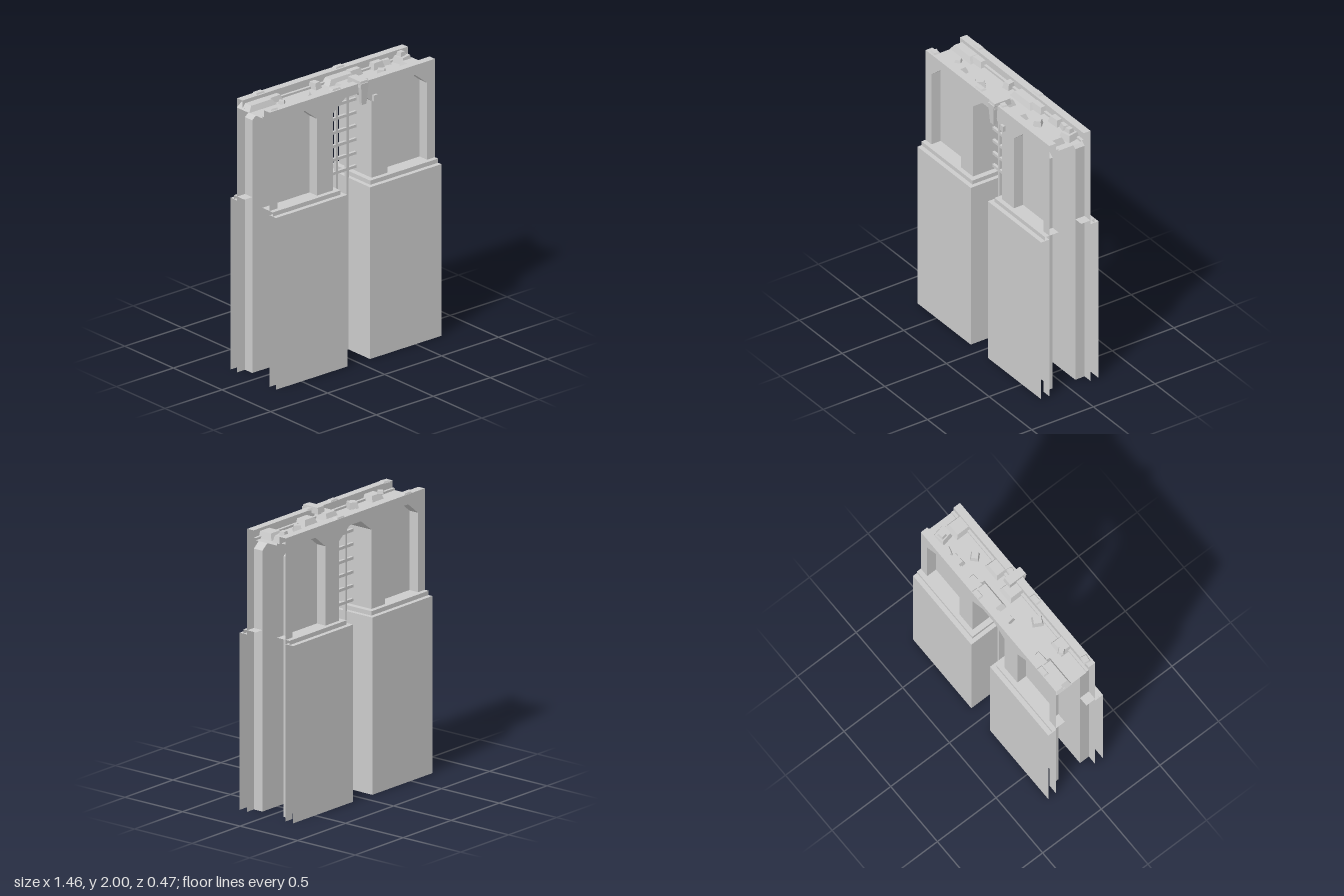
import * as THREE from 'three';

const W = 0.725, WALL = 0.167, NICHE = 0.092, PIER = 0.233;
const mat = new THREE.MeshStandardMaterial({ color: 0xcccccc, flatShading: true, side: THREE.DoubleSide });

function add(parent, name, geometry) {
  const m = new THREE.Mesh(geometry, mat);
  m.name = name;
  parent.add(m);
  return m;
}

// Ruled sheet between two matching rows of points
function sheet(a, b) {
  const pos = [], idx = [];
  a.forEach((p, i) => {
    pos.push(...p, ...b[i]);
    if (i) idx.push(2 * i - 2, 2 * i, 2 * i - 1, 2 * i - 1, 2 * i, 2 * i + 1);
  });
  const g = new THREE.BufferGeometry();
  g.setAttribute('position', new THREE.Float32BufferAttribute(pos, 3));
  g.setIndex(idx);
  const flat = g.toNonIndexed();
  flat.computeVertexNormals();
  return flat;
}
// (z, y) profile drawn out along x
const sweepX = (pts, x0, x1) => sheet(pts.map(([z, y]) => [x0, y, z]), pts.map(([z, y]) => [x1, y, z]));
// (x, y) outline drawn out along z
const sweepZ = (pts, z0, z1) => sheet(pts.map(([x, y]) => [x, y, z0]), pts.map(([x, y]) => [x, y, z1]));
const flatShape = (pts) => new THREE.ShapeGeometry(new THREE.Shape(pts.map(([x, y]) => new THREE.Vector2(x, y))));

// Opening with a chamfered head, reaching the ground
const arch = (cx, half, flat) => [
  [cx - half, 0], [cx - half, 1.825], [cx - flat, 1.91],
  [cx + flat, 1.91], [cx + half, 1.825], [cx + half, 0],
];

// Block with a smaller top; base at y = 0
function taperedBlock(w, h, d, taper = 0.75) {
  const g = new THREE.BoxGeometry(w, h, d).translate(0, h / 2, 0);
  const p = g.attributes.position;
  for (let i = 0; i < p.count; i++) {
    if (p.getY(i) > h / 2) p.setXYZ(i, p.getX(i) * taper, h, p.getZ(i) * taper);
  }
  g.computeVertexNormals();
  return g;
}

export function createModel() {
  const model = new THREE.Group();
  model.name = 'ruinedGatehouse';

  // Upper wall: two faces cut by the gateway and the blind arches
  const gate = arch(0, 0.17, 0.06);
  const niches = [arch(-0.483, 0.173, 0.068), arch(0.483, 0.173, 0.068)];
  const face = [[-W, 0], ...niches[0], ...gate, ...niches[1], [W, 0], [W, 1.98], [-W, 1.98]];
  const wall = new THREE.Group();
  wall.name = 'upperWall';
  model.add(wall);
  for (const s of [1, -1]) {
    add(wall, s > 0 ? 'frontFace' : 'backFace', flatShape(face)).position.z = s * WALL;
    for (const n of niches) {
      add(wall, 'nicheReveal', sweepZ(n, s * NICHE, s * WALL));
      add(wall, 'nichePanel', flatShape(n)).position.z = s * NICHE;
    }
  }
  add(wall, 'gatewayReveal', sweepZ(gate, -WALL, WALL));

  // Parapets and sunken walkway
  const half = [[WALL, 1.98], [0.112, 1.98], [0.112, 1.93], [0.092, 1.93], [0.092, 1.915]];
  const mirrored = half.map(([z, y]) => [-z, y]).reverse();
  add(wall, 'parapetAndWalkway', sweepX([...half, ...mirrored], -W, W));

  // Piers either side of the passage, with a stepped ledge
  for (const s of [1, -1]) {
    const pier = new THREE.Group();
    pier.name = s > 0 ? 'leftPier' : 'rightPier';
    model.add(pier);
    for (const f of [1, -1]) {
      add(pier, 'pierFace', sweepX([[f * PIER, 0], [f * PIER, 1.24], [f * WALL, 1.24]], s * 0.1, s * W));
      add(pier, 'ledge', sweepX([[f * 0.2, 1.24], [f * 0.2, 1.27], [f * NICHE, 1.27]], s * 0.13, s * W));
    }
    add(pier, 'passageSide', sweepZ([[s * 0.1, 0], [s * 0.1, 1.24], [s * 0.13, 1.24]], -PIER, PIER));
    add(pier, 'ledgeEnd', sweepZ([[s * 0.13, 1.24], [s * 0.13, 1.27]], -0.2, 0.2));
    add(pier, 'gatewaySill', sweepZ([[s * 0.13, 1.27], [s * 0.17, 1.27]], -WALL, WALL));
  }

  // Lattice gate
  const lattice = new THREE.Group();
  lattice.name = 'latticeGate';
  model.add(lattice);
  for (const x of [-0.095, 0, 0.095]) {
    const h = x ? 1.885 : 1.91;
    add(lattice, 'uprightBar', new THREE.BoxGeometry(0.02, h, 0.02)).position.set(x, h / 2, 0);
  }
  for (let i = 0; i < 6; i++) {
    add(lattice, 'crossBar', new THREE.BoxGeometry(0.34, 0.02, 0.02)).position.set(0, 1.303 + i * 0.0975, 0);
  }

  // Rubble: x, y, z, width, height, depth, turn
  const rubble = [
    // along the back parapet
    [-0.61, 1.915, -0.1, 0.24, 0.04, 0.13, 0], [-0.47, 1.915, -0.11, 0.12, 0.04, 0.1, 0.05],
    [-0.113, 1.915, -0.1, 0.06, 0.045, 0.1, 0.15], [0.09, 1.915, -0.1, 0.24, 0.04, 0.13, 0],
    [0.23, 1.915, -0.11, 0.12, 0.045, 0.1, 0.05], [0.43, 1.915, -0.11, 0.1, 0.045, 0.1, 0.05],
    [0.52, 1.915, -0.115, 0.07, 0.035, 0.08, -0.25], [0.63, 1.915, -0.06, 0.1, 0.045, 0.1, 0.2],
    [0.625, 1.96, -0.065, 0.05, 0.028, 0.045, 0.15],
    // along the front parapet
    [-0.475, 1.915, 0.09, 0.12, 0.04, 0.12, 0], [-0.515, 1.955, 0.045, 0.045, 0.02, 0.045, 0.7],
    [-0.24, 1.915, 0.06, 0.07, 0.045, 0.075, -0.5], [0.035, 1.915, 0.075, 0.125, 0.045, 0.15, 0],
    [0.222, 1.915, 0.09, 0.13, 0.04, 0.12, 0], [0.38, 1.915, 0.02, 0.06, 0.04, 0.06, 0.75],
    [0.61, 1.915, 0.075, 0.125, 0.045, 0.15, 0],
    // chips on the parapets
    [-0.555, 1.978, -0.145, 0.08, 0.013, 0.042, 0], [0.145, 1.978, -0.145, 0.08, 0.013, 0.042, 0],
    [-0.665, 1.978, 0.13, 0.06, 0.013, 0.05, -0.15], [-0.125, 1.978, 0.135, 0.08, 0.013, 0.042, 0],
    [0.135, 1.978, 0.13, 0.05, 0.013, 0.045, -0.2],
  ];
  const debris = new THREE.Group();
  debris.name = 'rubble';
  model.add(debris);
  for (const [x, y, z, w, h, d, turn] of rubble) {
    const stone = add(debris, 'stone', taperedBlock(w, h, d));
    stone.position.set(x, y, z);
    stone.rotation.y = turn;
  }

  // Stone slumped over the front parapet
  add(debris, 'slumpedStoneTop', taperedBlock(0.07, 0.045, 0.14, 0.9)).position.set(0.085, 1.955, 0.125);
  const hang = add(debris, 'slumpedStoneTip', taperedBlock(0.068, 0.155, 0.04, 0.6));
  hang.rotation.x = Math.PI;
  hang.position.set(0.085, 1.985, 0.178);
  add(debris, 'studOnWall', new THREE.BoxGeometry(0.034, 0.042, 0.03)).position.set(0.192, 1.847, 0.17);

  return model;
}
